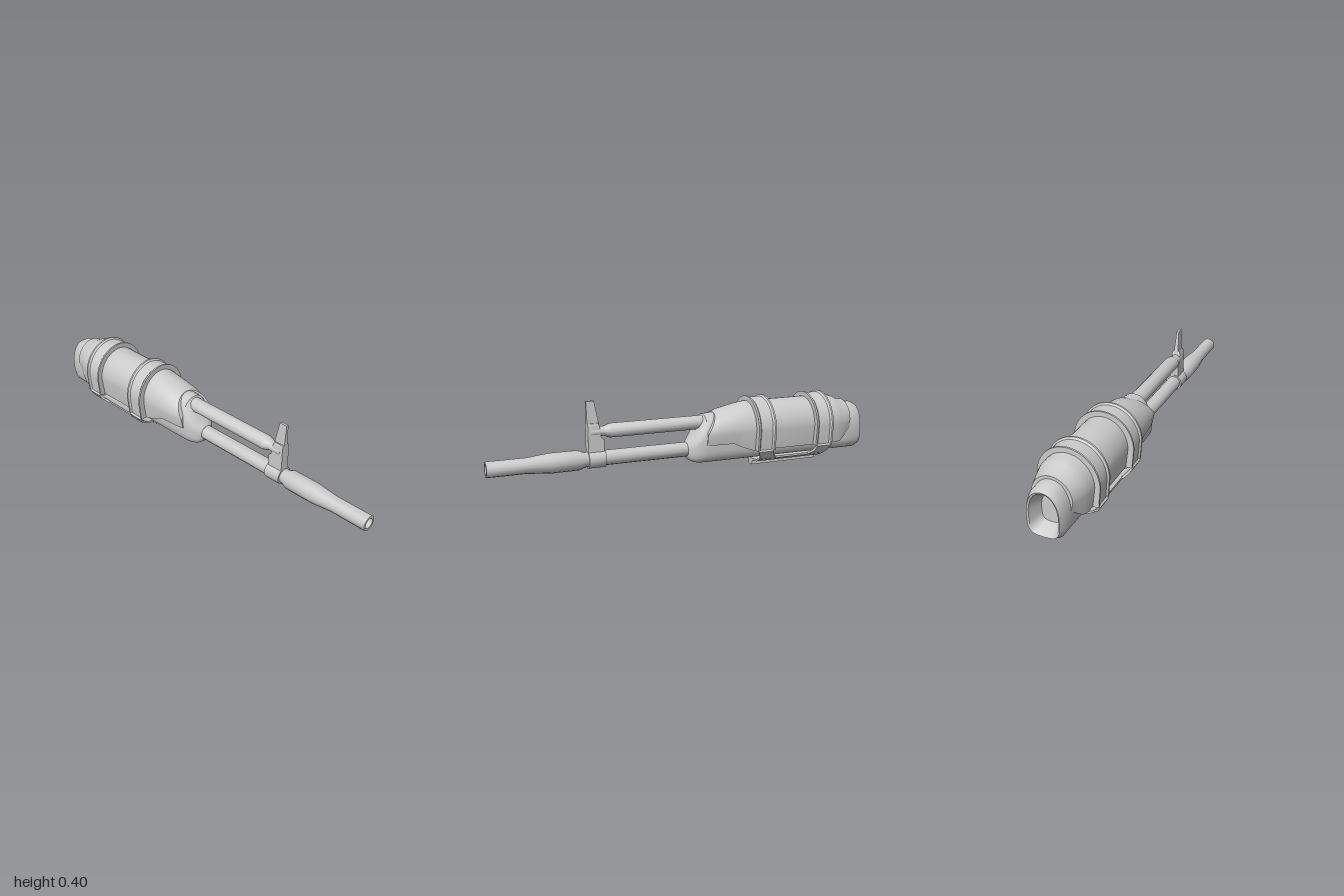
import * as THREE from 'three';
import { toCreasedNormals } from 'three/addons/utils/BufferGeometryUtils.js';

const material = new THREE.MeshStandardMaterial({ color: 0xcccccc });
const lerp = THREE.MathUtils.lerp;

// Skins closed rings of [x, y, z] points, with a fan cap at each end
function loft(rings, crease = 0.6) {
  const pos = [];
  const n = rings[0].length;
  const tri = (...pts) => pts.forEach((p) => pos.push(...p));
  for (let i = 0; i < rings.length - 1; i++) {
    for (let j = 0; j < n; j++) {
      const k = (j + 1) % n;
      const [a, b, c, d] = [rings[i][j], rings[i][k], rings[i + 1][k], rings[i + 1][j]];
      tri(a, b, c);
      tri(a, c, d);
    }
  }
  const cap = (ring, flip) => {
    const c = [0, 1, 2].map((q) => ring.reduce((s, p) => s + p[q], 0) / n);
    ring.forEach((p, j) => {
      const next = ring[(j + 1) % n];
      if (flip) tri(c, next, p);
      else tri(c, p, next);
    });
  };
  cap(rings[0], true);
  cap(rings[rings.length - 1], false);
  // Turn the faces outward when the enclosed volume is negative
  let volume = 0;
  const [a, b, c] = [0, 1, 2].map(() => new THREE.Vector3());
  for (let i = 0; i < pos.length; i += 9) {
    volume += a.fromArray(pos, i).dot(b.fromArray(pos, i + 3).cross(c.fromArray(pos, i + 6)));
  }
  if (volume < 0) {
    for (let i = 0; i < pos.length; i += 9) {
      for (let q = 0; q < 3; q++) [pos[i + q], pos[i + 3 + q]] = [pos[i + 3 + q], pos[i + q]];
    }
  }
  const g = new THREE.BufferGeometry();
  g.setAttribute('position', new THREE.Float32BufferAttribute(pos, 3));
  return toCreasedNormals(g, crease);
}

// Arched outline as [z, y]: straight lower sides, half ellipse above
function arch(w, top, bottom, tuck = 0.9, mid = 0.2, steps = 20) {
  const pts = [[w * tuck, bottom]];
  for (let i = 0; i <= steps; i++) {
    const a = (i / steps) * Math.PI;
    pts.push([w * Math.cos(a), mid + (top - mid) * Math.sin(a)]);
  }
  pts.push([-w * tuck, bottom]);
  return pts;
}

// Core outline: elliptical above, boxy and rounded below
function coreRing([x, top, bottom, w, mid = 0.15]) {
  const ring = [];
  for (let i = 0; i < 32; i++) {
    const a = (i / 32) * Math.PI * 2;
    const c = Math.cos(a), s = Math.sin(a);
    const e = s < 0 ? 0.6 : 0.9;
    ring.push([
      x,
      s < 0 ? mid - (mid - bottom) * Math.pow(-s, e) : mid + (top - mid) * Math.pow(s, e),
      w * Math.sign(c) * Math.pow(Math.abs(c), e),
    ]);
  }
  return ring;
}

// Solid turned around the x axis from [x, radius] points
function turned(profile, sides) {
  const g = new THREE.LatheGeometry(profile.map(([x, r]) => new THREE.Vector2(r, x)), sides);
  g.rotateZ(-Math.PI / 2);
  return toCreasedNormals(g, 0.6);
}

export function createModel() {
  const model = new THREE.Group();
  const add = (name, geometry, y = 0) => {
    const mesh = new THREE.Mesh(geometry, material);
    mesh.name = name;
    mesh.position.y = y;
    model.add(mesh);
    return mesh;
  };

  // Lower core with a recessed rear opening: x, top, bottom, half width, middle
  add('core', loft([
    [-0.93, 0.23, 0.09, 0.045], [-0.995, 0.265, 0.062, 0.07],
    [-1, 0.275, 0.058, 0.078], [-0.97, 0.292, 0.045, 0.09], [-0.9, 0.295, 0.045, 0.09],
    [-0.15, 0.295, 0.045, 0.088], [-0.09, 0.292, 0.045, 0.087], [-0.065, 0.25, 0.045, 0.083],
    [-0.035, 0.195, 0.048, 0.07, 0.14], [-0.012, 0.165, 0.06, 0.052, 0.12], [0, 0.152, 0.078, 0.036, 0.115],
  ].map(coreRing)));

  // Upper cover: x, top, bottom, half width, backward lean of the upper part
  add('cover', loft([
    [-0.92, 0.308, 0.16, 0.098, 0], [-0.88, 0.315, 0.125, 0.112, 0],
    [-0.85, 0.33, 0.102, 0.12, 0], [-0.82, 0.34, 0.1, 0.128, 0],
    [-0.33, 0.34, 0.1, 0.123, 0], [-0.27, 0.335, 0.122, 0.12, 0.02],
    [-0.22, 0.328, 0.145, 0.117, 0.03], [-0.13, 0.312, 0.145, 0.111, 0.05],
    [-0.08, 0.296, 0.145, 0.102, 0.07],
  ].map(([x, top, bottom, w, lean]) => arch(w, top, bottom)
    .map(([z, y]) => [x - lean * Math.max(0, (y - 0.2) / 0.1), y, z])), 0.45));

  // Two channelled bands over the cover, each with a strap down either side
  const bandProfile = [
    [-0.05, 0.118], [-0.05, 0.152], [-0.041, 0.152], [-0.033, 0.144],
    [0.033, 0.144], [0.041, 0.152], [0.05, 0.152], [0.05, 0.118],
  ];
  const strapPath = [[0.138, 0.105], [0.122, 0.077], [0.1, 0.057]];
  for (const [name, x0, toward] of [['rearBand', -0.73, 1], ['frontBand', -0.39, -1]]) {
    const paths = bandProfile.map(([, r]) => arch(r, 0.213 + r, 0.1, 0.94, 0.2, 28));
    const rings = paths[0].map((_, i) => bandProfile.map(([x], j) => [x0 + x, paths[j][i][1], paths[j][i][0]]));
    add(name, loft(rings, 0.5));
    for (const side of [1, -1]) {
      add(side > 0 ? 'leftStrap' : 'rightStrap', loft(strapPath.map(([z, y], i) => {
        const outer = x0 + toward * lerp(-0.045, -0.02, i / 2);
        const inner = x0 + toward * lerp(0.04, 0.075, i * i / 4);
        return [[outer, y, z * side], [inner, y, z * side],
          [inner, y - 0.008, (z + 0.008) * side], [outer, y - 0.008, (z + 0.008) * side]];
      })));
    }
  }

  // Curved mounting plate joining the straps, and the rail below it
  const platePath = [[0.104, 0.058], [0.07, 0.04], [0.03, 0.034], [-0.03, 0.034], [-0.07, 0.04], [-0.104, 0.058]];
  add('mountPlate', loft(platePath.map(([z, y]) => [
    [-0.75, y, z], [-0.37, y, z], [-0.37, y - 0.011, z], [-0.75, y - 0.011, z],
  ])));
  const rail = new THREE.BoxGeometry(0.38, 0.034, 0.036);
  add('mountRail', rail, 0.017).position.x = -0.56;

  // Lower barrel with thickened front sleeve and hollow end
  add('barrel', turned([
    [-0.02, 0], [-0.02, 0.037], [0.515, 0.037], [0.53, 0.037], [0.56, 0.049], [0.7, 0.049],
    [0.81, 0.038], [1, 0.038], [1, 0.026], [0.9, 0.026], [0.9, 0],
  ], 14), 0.115);

  // Upper tube, wider than tall, narrowing into the post
  const tube = turned([
    [-0.16, 0], [-0.16, 0.036], [0.4, 0.036], [0.43, 0.024], [0.5, 0.024], [0.5, 0],
  ], 12);
  add('upperTube', tube, 0.249).scale.z = 1.1;

  // Collar, post and fin
  add('collar', turned([[0.43, 0], [0.43, 0.045], [0.515, 0.045], [0.515, 0]], 16), 0.115);
  const slab = (levels) => loft(levels.map(([y, x0, x1, w]) => [[x0, y, w], [x1, y, w], [x1, y, -w], [x0, y, -w]]));
  add('post', slab([
    [0.12, 0.435, 0.515, 0.024], [0.21, 0.435, 0.515, 0.023], [0.225, 0.45, 0.515, 0.023],
    [0.28, 0.457, 0.515, 0.023], [0.292, 0.462, 0.515, 0.018],
  ]));
  add('fin', slab([[0.28, 0.455, 0.515, 0.012], [0.4, 0.477, 0.517, 0.006]]));

  return model;
}
